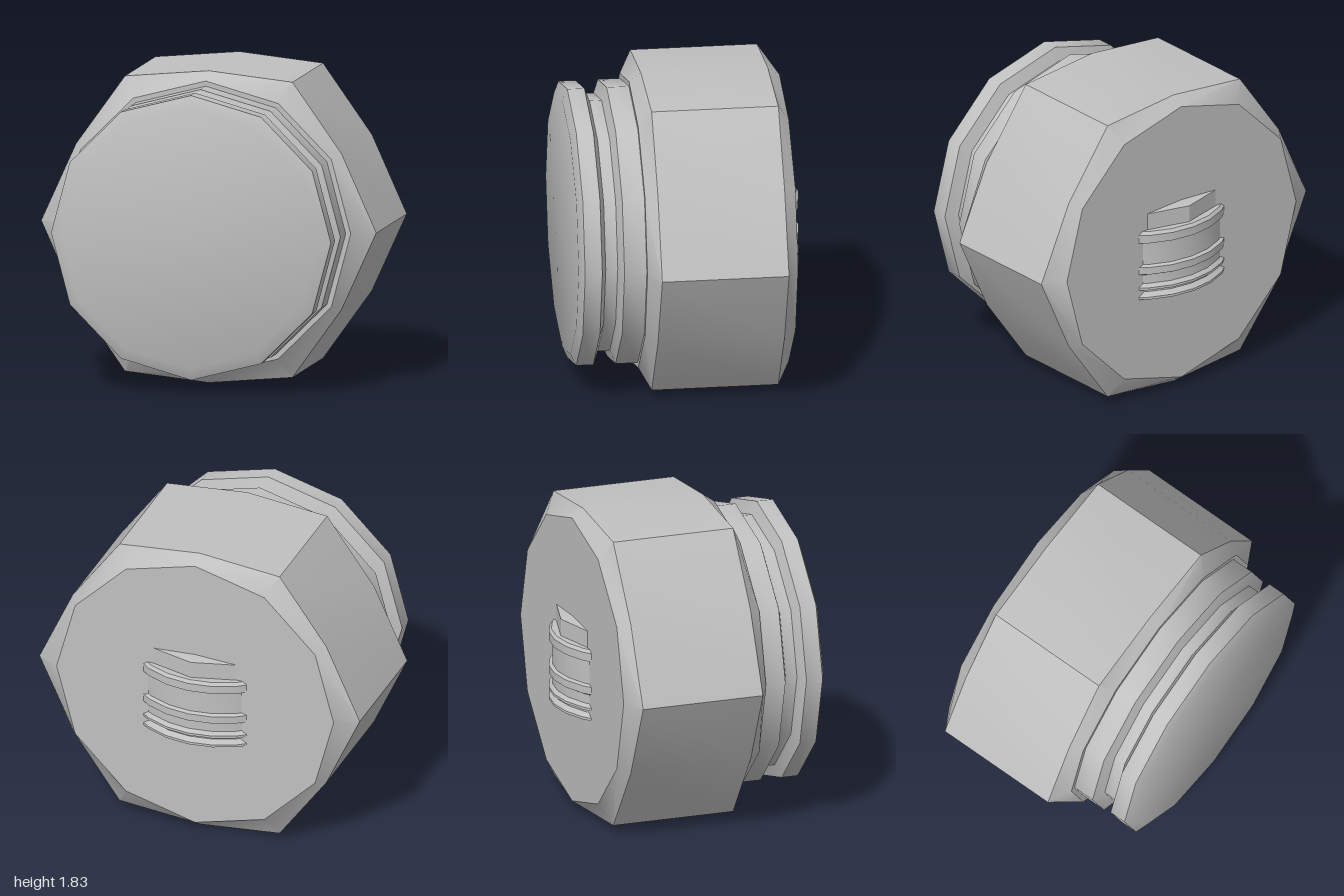
import * as THREE from 'three';
import { toCreasedNormals } from 'three/addons/utils/BufferGeometryUtils.js';

const SIDES = 12;
const CENTRE_Y = 0.915;
const CREASE = 0.6;

// twelve-sided ring; 'corner' is the radius at the six hex corners, 'mid' between them
function ring(z, corner, mid = corner) {
  return Array.from({ length: SIDES }, (_, k) => {
    const a = (k / SIDES) * Math.PI * 2;
    const r = k % 2 ? mid : corner;
    return [r * Math.cos(a), r * Math.sin(a), z];
  });
}

function fromTriangles(triangles) {
  const g = new THREE.BufferGeometry();
  g.setAttribute('position', new THREE.Float32BufferAttribute(triangles.flat(2), 3));
  return toCreasedNormals(g, CREASE);
}

// fan that closes a ring, facing +z or -z
function capTriangles(points, front) {
  const centre = [0, 0, points[0][2]];
  return points.map((p, k) => {
    const q = points[(k + 1) % SIDES];
    return front ? [centre, p, q] : [centre, q, p];
  });
}

// walls between successive rings, ordered from back to front
function wallTriangles(rings) {
  const out = [];
  for (let i = 0; i < rings.length - 1; i++) {
    for (let k = 0; k < SIDES; k++) {
      const n = (k + 1) % SIDES;
      const a = rings[i][k], b = rings[i][n], c = rings[i + 1][n], d = rings[i + 1][k];
      out.push([a, b, c], [a, c, d]);
    }
  }
  return out;
}

export function createModel() {
  const metal = new THREE.MeshStandardMaterial({ color: 0xc0c0c0 });
  metal.name = 'grey metal';

  const group = new THREE.Group();
  const add = (name, geometry, y, z = 0) => {
    const mesh = new THREE.Mesh(geometry, metal);
    mesh.name = name;
    mesh.position.set(0, y, z);
    group.add(mesh);
  };

  // large hexagonal body with chamfered ends
  const back = ring(-0.58, 0.865);
  const front = ring(0.3, 0.865);
  add('hexBody', fromTriangles(wallTriangles([
    back, ring(-0.51, 1, 0.915), ring(0.23, 1, 0.915), front,
  ])), CENTRE_Y);
  add('bodyBackFace', fromTriangles(capTriangles(back, false)), CENTRE_Y);
  add('bodyFrontFace', fromTriangles(capTriangles(front, true)), CENTRE_Y);

  // grooved round plug on the front
  const plug = [
    [0.29, 0.835], [0.43, 0.835], [0.46, 0.757], [0.53, 0.757],
    [0.56, 0.835], [0.66, 0.835], [0.69, 0.768],
  ].map(([z, r]) => ring(z, r));
  add('groovedPlug', fromTriangles([
    ...wallTriangles(plug), ...capTriangles(plug[plug.length - 1], true),
  ]), CENTRE_Y);

  // upright ribbed fitting sunk into the back face
  const profile = [
    [0, 0.64], [0.55, 0.64], [0.55, 0.655], [0.525, 0.68], [0.525, 0.69],
    [0.55, 0.7], [0.55, 0.715], [0.53, 0.735], [0.53, 0.79],
    [0.55, 0.8], [0.55, 0.845], [0.53, 0.855], [0.53, 0.995],
    [0.55, 1.0], [0.55, 1.05], [0.535, 1.068], [0.46, 1.07],
  ].map(([r, y]) => new THREE.Vector2(r, y));
  add('ribbedFitting', toCreasedNormals(new THREE.LatheGeometry(profile, 24), CREASE), 0, -0.14);

  // faceted head of the fitting
  const head = [[0, 1.06], [0.51, 1.06], [0.51, 1.17], [0.43, 1.186], [0, 1.186]]
    .map(([r, y]) => new THREE.Vector2(r, y));
  add('fittingHead', toCreasedNormals(new THREE.LatheGeometry(head, 12), 0.4), 0, -0.14);

  return group;
}
